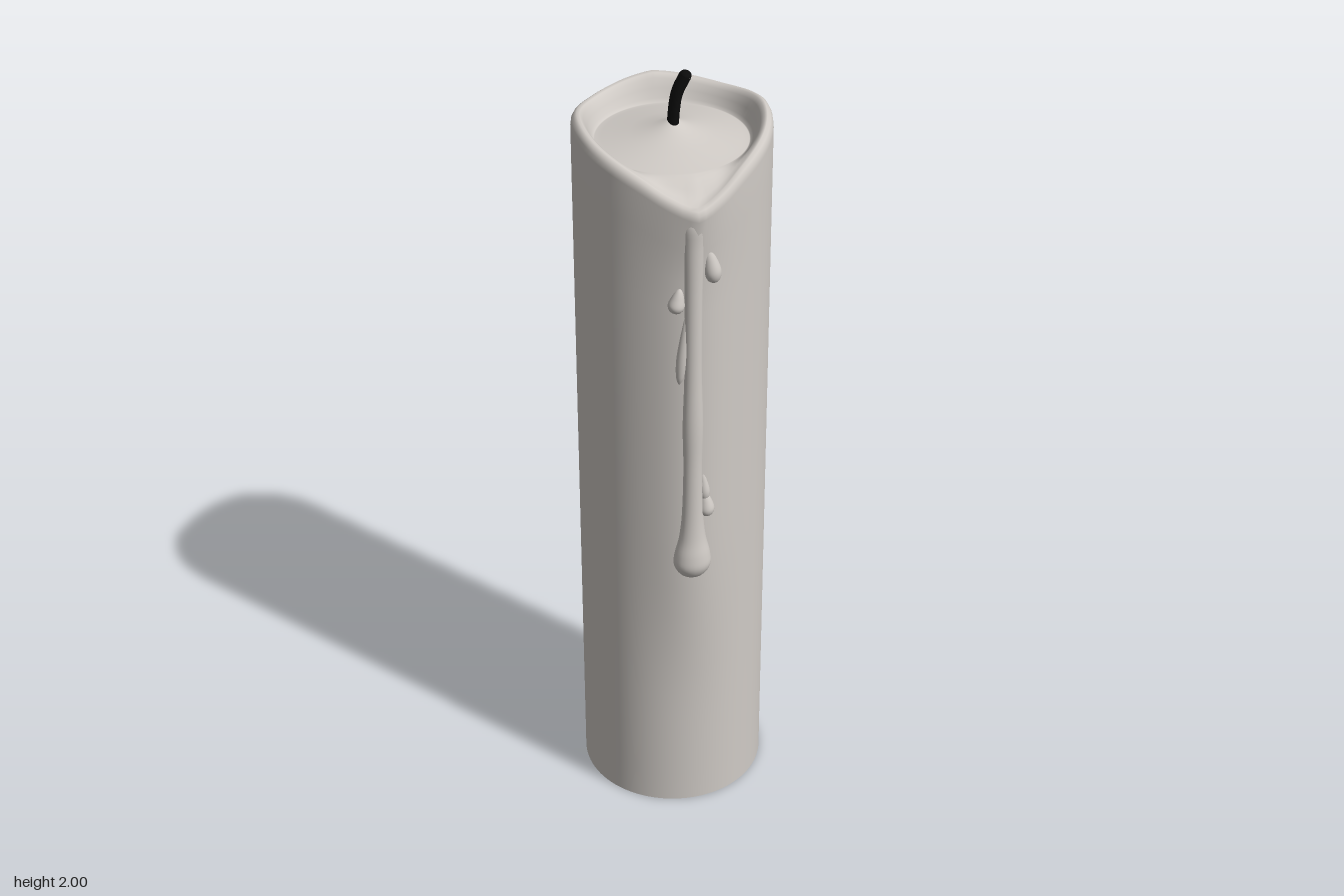
import * as THREE from 'three';

const R = 0.235, CZ = -0.025;
const wax = new THREE.MeshStandardMaterial({ color: 0xd0cbc6 });
wax.name = 'wax';
const char = new THREE.MeshStandardMaterial({ color: 0x0c0c0c });
char.name = 'charred wick';

const add = (group, name, geometry, material) => {
  const mesh = new THREE.Mesh(geometry, material);
  mesh.name = name;
  group.add(mesh);
  return mesh;
};

// Rim height by angle from the front (degrees, height), eased between entries
const RIM = [[0, 1.79], [14, 1.81], [32, 1.845], [60, 1.882], [90, 1.904], [135, 1.886], [180, 1.904]];
const rimCurve = new THREE.CatmullRomCurve3(
  [...RIM].reverse().slice(0, 6).map(([d, h]) => new THREE.Vector3(-d, h, 0))
    .concat(RIM.map(([d, h]) => new THREE.Vector3(d, h, 0))));
const rimPoints = rimCurve.getPoints(400);
function rimHeight(a) {
  const d = Math.abs(THREE.MathUtils.radToDeg(a));
  const i = Math.max(1, rimPoints.findIndex(p => p.x >= d - 1e-6));
  const p = rimPoints[i - 1], q = rimPoints[i];
  return THREE.MathUtils.lerp(p.y, q.y, THREE.MathUtils.clamp((d - p.x) / (q.x - p.x), 0, 1));
}

// Outer radius: a cylinder with a swelling under the drip and a pouring lip on top
function outerRadius(a, y) {
  const { smoothstep } = THREE.MathUtils;
  const swelling = 0.02 * smoothstep(y, 0.3, 0.85) * Math.exp(-((a / 0.4) ** 2));
  const lip = 0.026 * smoothstep(y, 1.6, 1.78) * Math.exp(-Math.abs(a) / 0.25);
  return R + swelling + lip;
}

// Cross-section at one angle, from the base up over the rim to the wick
function section(a) {
  const h = rimHeight(a);
  const pts = [];
  for (let k = 0; k <= 20; k++) {
    const y = (h - 0.03) * k / 20;
    pts.push([outerRadius(a, y), y]);
  }
  const top = outerRadius(a, h);
  pts.push([top - 0.002, h - 0.016], [top - 0.007, h - 0.006], [top - 0.015, h], [top - 0.022, h - 0.003]);
  const r = top - 0.022;
  for (const t of [0.25, 0.5, 0.75, 0.92]) {
    pts.push([THREE.MathUtils.lerp(r, 0.18, t), THREE.MathUtils.lerp(h - 0.003, 1.835, t * t * (3 - 2 * t))]);
  }
  pts.push([0.18, 1.835], [0.165, 1.838], [0.1, 1.85], [0.05, 1.863], [0.02, 1.876], [0.003, 1.882]);
  return pts;
}

function bodyGeometry() {
  const n = 96, pos = [], index = [];
  let m = 0;
  for (let i = 0; i < n; i++) {
    const a = (i / n) * Math.PI * 2 - Math.PI;
    const pts = section(a);
    m = pts.length;
    for (const [r, y] of pts) pos.push(Math.sin(a) * r, y, CZ + Math.cos(a) * r);
  }
  for (let i = 0; i < n; i++) {
    for (let j = 0; j < m - 1; j++) {
      const a = i * m + j, b = ((i + 1) % n) * m + j;
      index.push(a, b, b + 1, a, b + 1, a + 1);
    }
  }
  const g = new THREE.BufferGeometry();
  g.setAttribute('position', new THREE.Float32BufferAttribute(pos, 3));
  g.setIndex(index);
  g.computeVertexNormals();
  return g;
}

// Drip of wax: a smooth lathe through [radius, height] points
function dripGeometry(points) {
  const curve = new THREE.SplineCurve(points.map(([r, y]) => new THREE.Vector2(r, y)));
  const profile = curve.getPoints(60).map(p => new THREE.Vector2(Math.max(p.x, 0), p.y));
  return new THREE.LatheGeometry(profile, 24);
}

export function createModel() {
  const candle = new THREE.Group();
  candle.name = 'candle';

  add(candle, 'body', bodyGeometry(), wax);
  const base = add(candle, 'base', new THREE.CircleGeometry(R, 96), wax);
  base.rotation.x = Math.PI / 2;
  base.position.z = CZ;

  // Long run of wax with a heavy bulb at its end
  const drip = add(candle, 'mainDrip', dripGeometry([
    [0, 0.752], [0.028, 0.762], [0.046, 0.79], [0.044, 0.825], [0.033, 0.875], [0.026, 0.95],
    [0.023, 1.08], [0.025, 1.2], [0.021, 1.35], [0.021, 1.55], [0.024, 1.68], [0.026, 1.75], [0, 1.79]]), wax);
  drip.position.set(-0.006, 0, 0.227);
  drip.scale.z = 0.82;

  // Small side beads: x, height of the middle, half height, radius, lean
  const beads = [[0.035, 1.635, 0.055, 0.021, 0.2], [-0.043, 1.545, 0.035, 0.02, 0.2],
    [-0.026, 1.44, 0.13, 0.014, 0.1], [0.028, 0.965, 0.04, 0.02, 0.1], [0.022, 1.02, 0.05, 0.014, 0.1]];
  for (const [x, y, h, r, lean] of beads) {
    const bead = add(candle, 'sideBead', dripGeometry([
      [0, -h], [r * 0.7, -h * 0.8], [r, -h * 0.4], [r * 0.75, h * 0.2], [r * 0.4, h * 0.7], [0, h]]), wax);
    bead.position.set(x, y, 0.222);
    bead.rotation.z = lean * Math.sign(x);
  }

  // Flat braided wick, bent toward +x
  const path = new THREE.CatmullRomCurve3([[0.002, 1.86], [0.004, 1.9], [0.012, 1.95], [0.032, 1.992]]
    .map(([x, y]) => new THREE.Vector3(x, y, 0)));
  const wick = new THREE.Group();
  wick.name = 'wick';
  wick.position.z = CZ;
  wick.scale.z = 1.55;
  add(wick, 'wickStem', new THREE.TubeGeometry(path, 20, 0.0135, 14), char);
  const tip = add(wick, 'wickTip', new THREE.SphereGeometry(0.0135, 14, 10), char);
  tip.position.copy(path.getPoint(1));
  tip.scale.y = 0.6;
  candle.add(wick);

  return candle;
}
